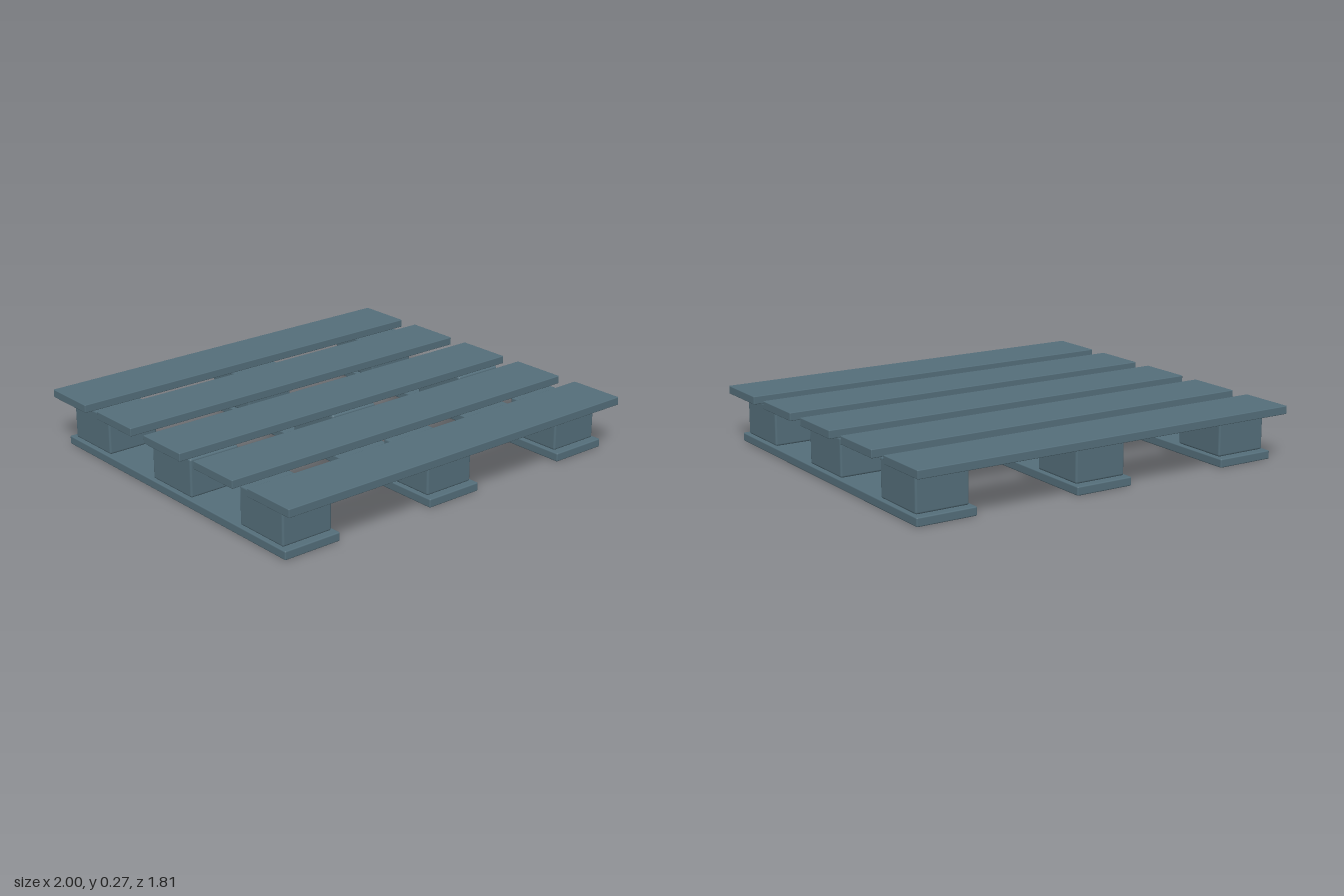
import * as THREE from 'three';
import { RoundedBoxGeometry } from 'three/addons/geometries/RoundedBoxGeometry.js';

export function createModel() {
  const pallet = new THREE.Group();
  pallet.name = 'pallet';
  const wood = new THREE.MeshStandardMaterial({ color: 0x546e7a });

  function addPart(name, geometry, x, y, z) {
    const mesh = new THREE.Mesh(geometry, wood);
    mesh.name = name;
    mesh.position.set(x, y, z);
    pallet.add(mesh);
  }

  const deckGeo = new RoundedBoxGeometry(2, 0.04, 0.28, 2, 0.004);
  const runnerGeo = new RoundedBoxGeometry(0.297, 0.042, 1.67, 2, 0.006);
  const blockGeo = new RoundedBoxGeometry(0.264, 0.186, 0.295, 2, 0.01);

  // Five deck boards across the top
  for (let i = -2; i <= 2; i++) addPart('deckBoard', deckGeo, 0, 0.248, i * 0.383);

  // Three bottom runners, each carrying three spacer blocks
  for (let i = -1; i <= 1; i++) {
    const x = i * 0.817;
    addPart('runner', runnerGeo, x, 0.021, 0);
    for (let j = -1; j <= 1; j++) addPart('spacerBlock', blockGeo, x, 0.135, j * 0.652);
  }
  return pallet;
}
